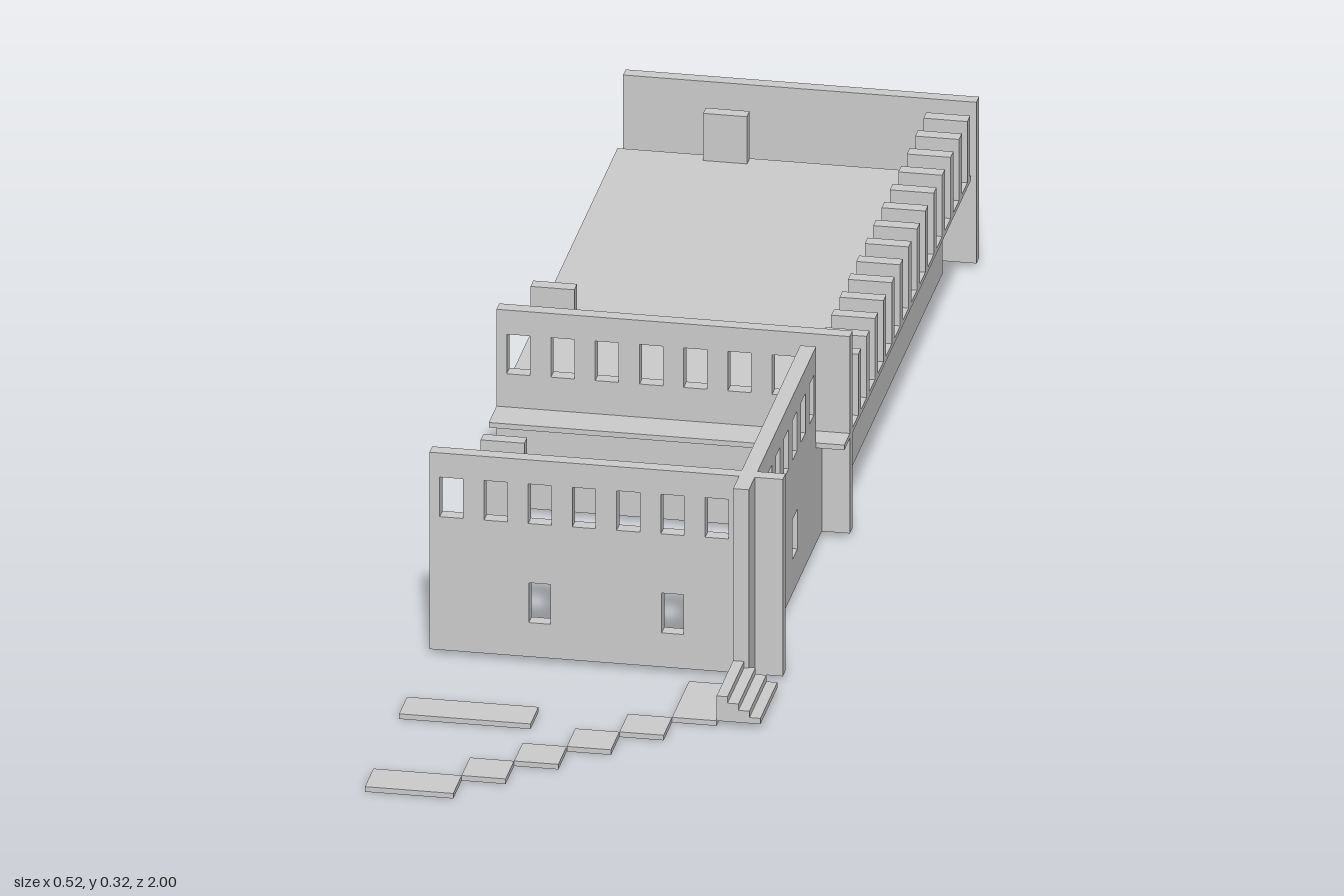
import * as THREE from 'three';

const material = new THREE.MeshStandardMaterial({ color: 0xcccccc, flatShading: true });
const GROUND = 0.009, DECK = 0.166, TOP = 0.318, PITCH = 0.0646;
const LEFT = 0.257, RIGHT = -0.259; // outer x limits

export function createModel() {
  const model = new THREE.Group();
  model.name = 'building';

  const add = (name, geometry) => {
    const mesh = new THREE.Mesh(geometry, material);
    mesh.name = name;
    model.add(mesh);
    return mesh;
  };

  // Box given by its limits on each axis
  const box = (name, x0, x1, y0, y1, z0, z1) =>
    add(name, new THREE.BoxGeometry(x1 - x0, y1 - y0, z1 - z0))
      .position.set((x0 + x1) / 2, (y0 + y1) / 2, (z0 + z1) / 2);

  // Upright wall with rectangular openings [u, width, bottom, top], u being the centre
  const panel = (u0, u1, y0, y1, thickness, openings) => {
    const rectangle = (target, a, b, c, d) =>
      target.moveTo(a, c).lineTo(b, c).lineTo(b, d).lineTo(a, d).closePath();
    const shape = rectangle(new THREE.Shape(), u0, u1, y0, y1);
    for (const [u, w, b, t] of openings)
      shape.holes.push(rectangle(new THREE.Path(), u - w / 2, u + w / 2, b, t));
    return new THREE.ExtrudeGeometry(shape, { depth: thickness, bevelEnabled: false });
  };
  const crossPanel = (name, z, openings) => {
    add(name, panel(RIGHT, LEFT, GROUND, TOP, 0.021, openings)).position.z = z;
  };
  const lengthPanel = (name, u0, u1, y1, openings) => {
    const mesh = add(name, panel(u0, u1, GROUND, y1, 0.023, openings));
    mesh.rotation.y = -Math.PI / 2;
    mesh.position.x = 0.216;
  };

  // Window layouts
  const upperRow = (first, step) =>
    Array.from({ length: 7 }, (_, i) => [first + i * step, 0.034, 0.218, 0.28]);
  const lowWindow = (u, w = 0.032) => [u, w, 0.0625, 0.125];

  // Tall walls of the front court
  crossPanel('frontWall', 0.484, [...upperRow(-0.227, PITCH), lowWindow(-0.098), lowWindow(0.096)]);
  crossPanel('middleWall', -0.03, upperRow(-0.227, PITCH));
  lengthPanel('courtSideWall', 0.035, 0.55, TOP,
    [...upperRow(0.456, -PITCH), lowWindow(0.197, 0.04)]);

  // Low hall behind: side walls with a doorway, roof deck and end wall
  lengthPanel('hallLeftWall', -0.935, 0.035, 0.158, [lowWindow(-0.259, 0.038), lowWindow(-0.709, 0.038)]);
  box('hallRightWallRear', RIGHT, RIGHT + 0.021, GROUND, 0.158, -0.935, -0.292);
  box('hallRightWallFront', RIGHT, RIGHT + 0.021, GROUND, 0.158, -0.236, -0.03);
  box('roofDeck', RIGHT, 0.193, 0.158, DECK, -0.937, 0.05);
  box('backWall', RIGHT, LEFT, GROUND, 0.262, -1, -0.98);

  // Overhanging ledge with parapet and a row of fins
  box('ledge', 0.193, LEFT, 0.158, DECK, -0.937, 0.033);
  box('parapet', 0.193, 0.21, DECK, 0.185, -0.937, -0.03);
  for (let i = 0; i < 14; i++) {
    const z = -0.084 - i * 0.0644;
    box('fin', 0.193, LEFT, DECK, 0.262, z - 0.0105, z + 0.0105);
  }

  // Short blocks on the roof
  box('roofBlockSide', RIGHT, -0.195, 0.158, 0.24, -0.291, -0.27);
  box('roofBlockRear', -0.13, -0.066, 0.158, 0.24, -0.937, -0.917);

  // Piers along the open side of the court
  for (const z of [0.102, 0.167, 0.231, 0.427])
    box('pier', RIGHT, -0.195, GROUND, DECK, z - 0.0105, z + 0.0105);

  // Entrance steps, descending to the left
  for (let i = 0; i < 4; i++)
    box('step', 0.193 + i * 0.016, 0.209 + i * 0.016, GROUND, 0.048 - i * 0.01, 0.547, 0.677);

  // Staggered paving
  const slab = (x0, x1, z0, z1) => box('pavingSlab', x0, x1, 0.001, GROUND, z0, z1);
  slab(0.128, 0.193, 0.547, 0.677);
  for (let i = 0; i < 4; i++)
    slab(0.0635 - i * PITCH, 0.128 - i * PITCH, 0.677 + i * PITCH, 0.677 + (i + 1) * PITCH);
  slab(RIGHT, -0.13, 0.935, 1);
  slab(RIGHT, -0.067, 0.677, 0.738);

  return model;
}
